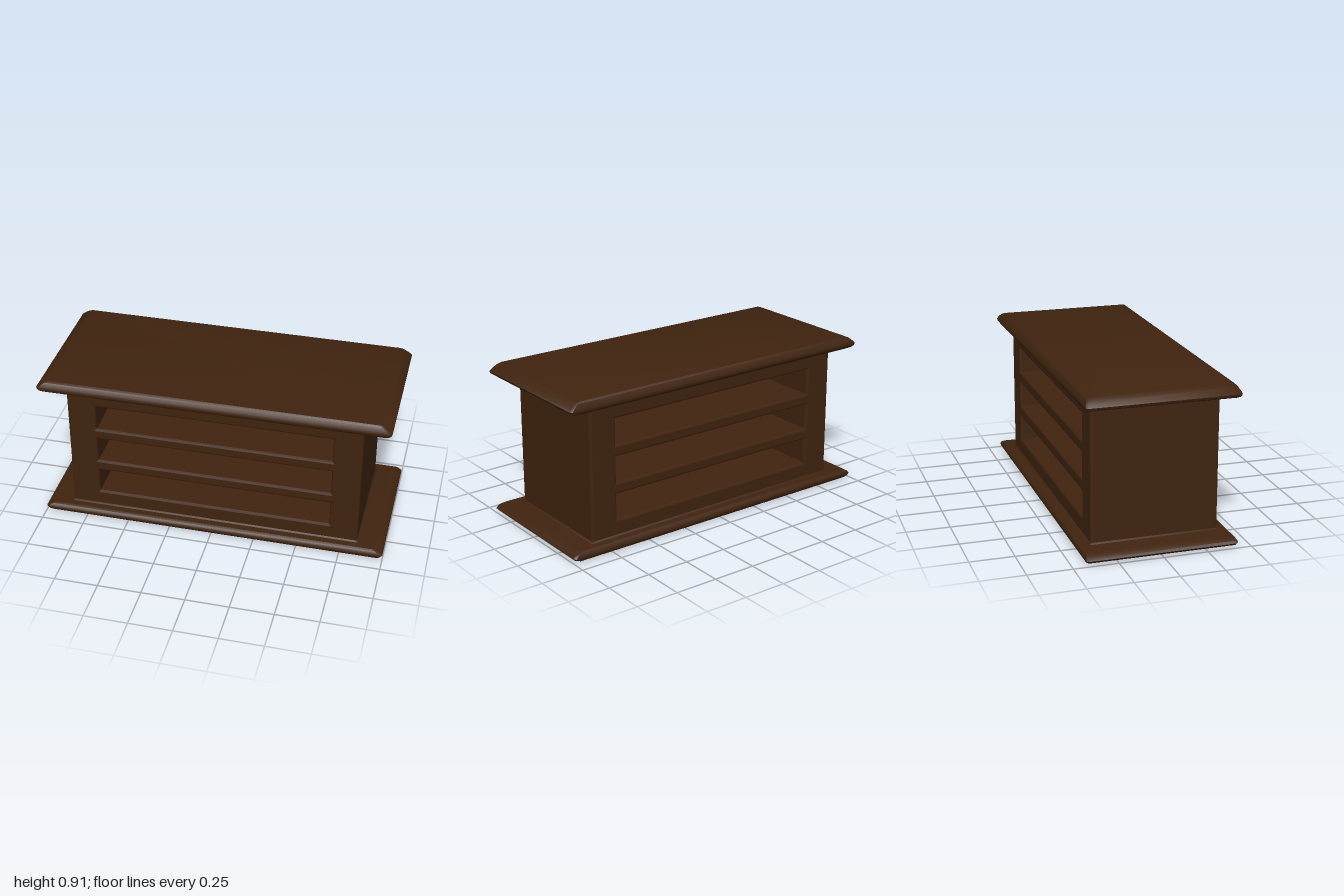
import * as THREE from 'three';
import { toCreasedNormals } from 'three/addons/utils/BufferGeometryUtils.js';

// Solid slab stacked from rectangular rings [y, halfX, halfZ] with clipped corners
function slab(levels, c) {
  const pos = [], idx = [], n = 8;
  for (const [y, hx, hz] of levels) {
    const x = hx - c, z = hz - c;
    for (const [px, pz] of [[hx, z], [hx, -z], [x, -hz], [-x, -hz], [-hx, -z], [-hx, z], [-x, hz], [x, hz]]) {
      pos.push(px, y, pz);
    }
  }
  const last = (levels.length - 1) * n;
  for (let k = 0; k < last; k += n) {
    for (let i = 0; i < n; i++) {
      const j = (i + 1) % n;
      idx.push(k + i, k + j, k + n + j, k + i, k + n + j, k + n + i);
    }
  }
  for (let i = 1; i < n - 1; i++) {
    idx.push(last, last + i, last + i + 1, 0, i + 1, i);
  }
  const g = new THREE.BufferGeometry();
  g.setAttribute('position', new THREE.Float32BufferAttribute(pos, 3));
  g.setIndex(idx);
  return toCreasedNormals(g, 0.6);
}

// Traces a rectangle on a shape or path
function rect(path, hx, y0, y1) {
  path.moveTo(-hx, y0);
  path.lineTo(hx, y0);
  path.lineTo(hx, y1);
  path.lineTo(-hx, y1);
  path.closePath();
  return path;
}

export function createModel() {
  const group = new THREE.Group();
  const wood = new THREE.MeshStandardMaterial({ color: 0x40240f });
  wood.name = 'dark wood';
  const add = (name, geometry) => {
    const mesh = new THREE.Mesh(geometry, wood);
    mesh.name = name;
    group.add(mesh);
    return mesh;
  };

  // Base plate with a rounded edge
  add('basePlate', slab([
    [0, 0.945, 0.405], [0.006, 0.97, 0.415], [0.016, 0.99, 0.423], [0.028, 1, 0.426],
    [0.04, 0.99, 0.423], [0.05, 0.97, 0.415], [0.057, 0.945, 0.405],
  ], 0.012));

  // Top plate with a sloping upper edge
  add('topPlate', slab([
    [0.835, 0.945, 0.405], [0.841, 0.975, 0.416], [0.851, 0.995, 0.424], [0.864, 1, 0.426],
    [0.876, 0.988, 0.422], [0.898, 0.96, 0.411], [0.907, 0.94, 0.402],
  ], 0.012));

  // Body pierced by three bevelled shelf openings
  const bevel = 0.012;
  const outline = rect(new THREE.Shape(), 0.845 - bevel, 0.04, 0.855);
  for (const y of [0.139, 0.358, 0.577]) {
    outline.holes.push(rect(new THREE.Path(), 0.692, y, y + 0.177));
  }
  const body = new THREE.ExtrudeGeometry(outline, {
    depth: 0.72 - 2 * bevel, bevelEnabled: true, bevelSize: bevel, bevelThickness: bevel, bevelSegments: 2,
  });
  body.translate(0, 0, bevel - 0.36);
  add('body', body);

  // Panel dividing the front shelves from the back shelves
  add('centrePanel', new THREE.BoxGeometry(1.5, 0.7, 0.02)).position.y = 0.447;

  // Small fillets where the body meets the plates
  add('lowerFillet', slab([[0.05, 0.856, 0.371], [0.058, 0.854, 0.369], [0.066, 0.844, 0.359]], 0.01));
  add('upperFillet', slab([[0.826, 0.844, 0.359], [0.834, 0.854, 0.369], [0.842, 0.856, 0.371]], 0.01));

  return group;
}
